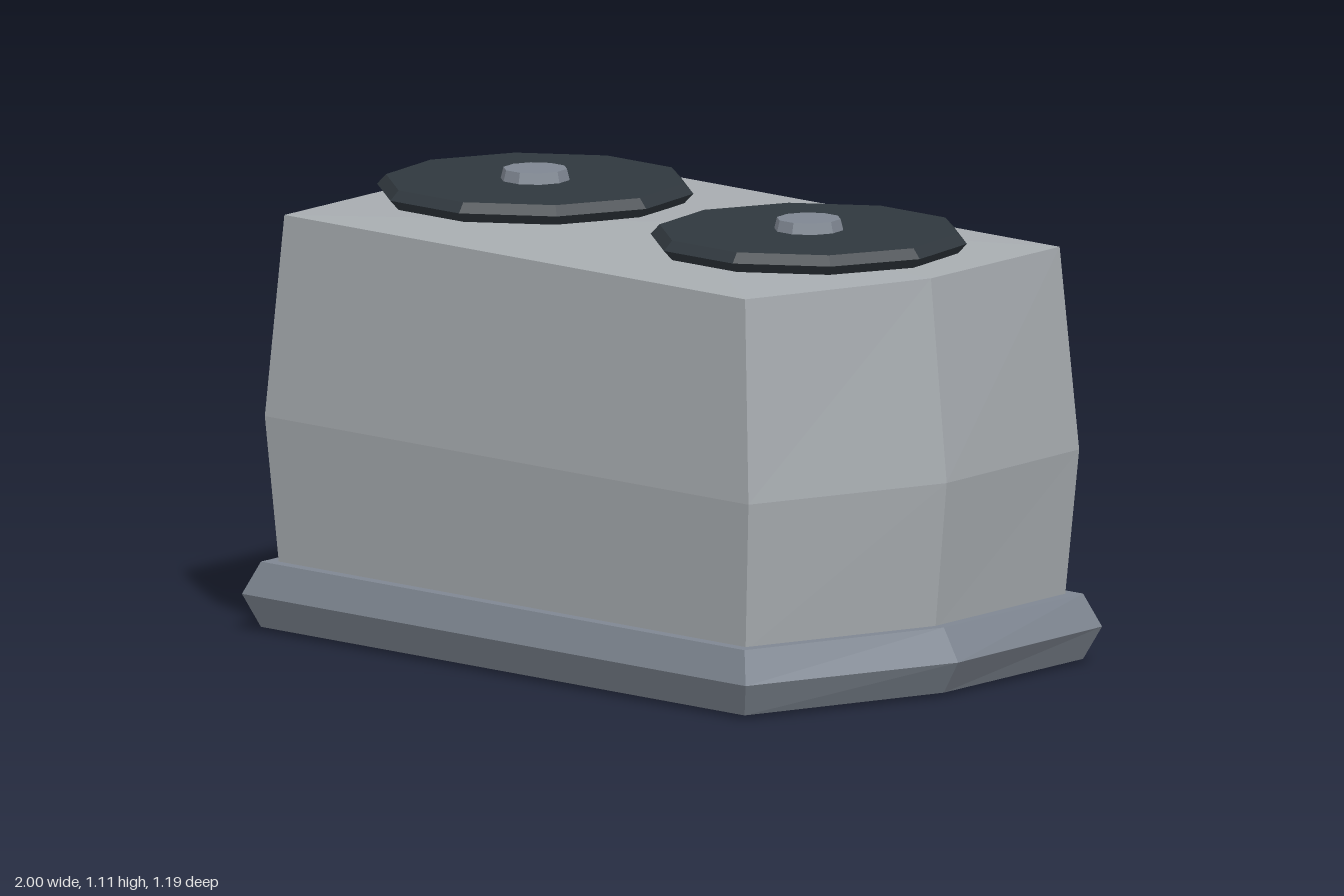
import * as THREE from 'three';

const paint = (name, color) => {
  const m = new THREE.MeshStandardMaterial({ color, flatShading: true });
  m.name = name;
  return m;
};

// Hexagonal cross-section: points on the x axis, straight front and back
const hexRing = ([y, tip, corner, z]) => [
  [tip, y, 0], [corner, y, -z], [-corner, y, -z],
  [-tip, y, 0], [-corner, y, z], [corner, y, z],
];

// Lofts hexagonal rings from bottom to top, closed by shallow fans
function hexLoft(sections, bottomY, topY) {
  const rings = sections.map(hexRing);
  const pos = [];
  const tri = (a, b, c) => pos.push(...a, ...b, ...c);
  const last = rings[rings.length - 1];
  for (let i = 0; i < 6; i++) {
    const j = (i + 1) % 6;
    for (let r = 0; r < rings.length - 1; r++) {
      const lo = rings[r], hi = rings[r + 1];
      tri(lo[i], lo[j], hi[j]);
      tri(lo[i], hi[j], hi[i]);
    }
    tri(last[i], last[j], [0, topY, 0]);
    tri(rings[0][j], rings[0][i], [0, bottomY, 0]);
  }
  const g = new THREE.BufferGeometry();
  g.setAttribute('position', new THREE.Float32BufferAttribute(pos, 3));
  g.computeVertexNormals();
  return g;
}

// Ten-sided disc with a corner pointing along x
const decagon = (rTop, rBottom, h, open = false) =>
  new THREE.CylinderGeometry(rTop, rBottom, h, 10, 1, open, Math.PI / 2);

export function createModel() {
  const group = new THREE.Group();
  const bodyGrey = paint('body grey', 0xa8adb1);
  const trimGrey = paint('trim blue grey', 0x7f8792);
  const lidDark = paint('lid charcoal', 0x30383e);

  const add = (parent, name, geometry, material, y = 0) => {
    const mesh = new THREE.Mesh(geometry, material);
    mesh.name = name;
    mesh.position.y = y;
    parent.add(mesh);
  };

  // Bevelled plinth: height, tip x, corner x, corner z
  add(group, 'base', hexLoft([
    [0.01, 0.95, 0.845, 0.565],
    [0.09, 1.0, 0.88, 0.595],
    [0.17, 0.95, 0.845, 0.565],
  ], 0, 0.17), trimGrey);

  // Bulging body with a slightly peaked top
  add(group, 'body', hexLoft([
    [0.16, 0.92, 0.815, 0.533],
    [0.525, 0.96, 0.845, 0.552],
    [1.02, 0.905, 0.805, 0.525],
  ], 0.16, 1.042), bodyGrey);

  // Two round lids with knobs
  for (const side of [-1, 1]) {
    const lid = new THREE.Group();
    lid.name = side > 0 ? 'leftLid' : 'rightLid';
    lid.position.x = side * 0.478;
    add(lid, 'lidLower', decagon(0.388, 0.366, 0.024), lidDark, 1.05);
    add(lid, 'lidUpper', decagon(0.366, 0.388, 0.024), lidDark, 1.074);
    add(lid, 'knob', decagon(0.078, 0.085, 0.028), trimGrey, 1.099);
    group.add(lid);
  }
  return group;
}
